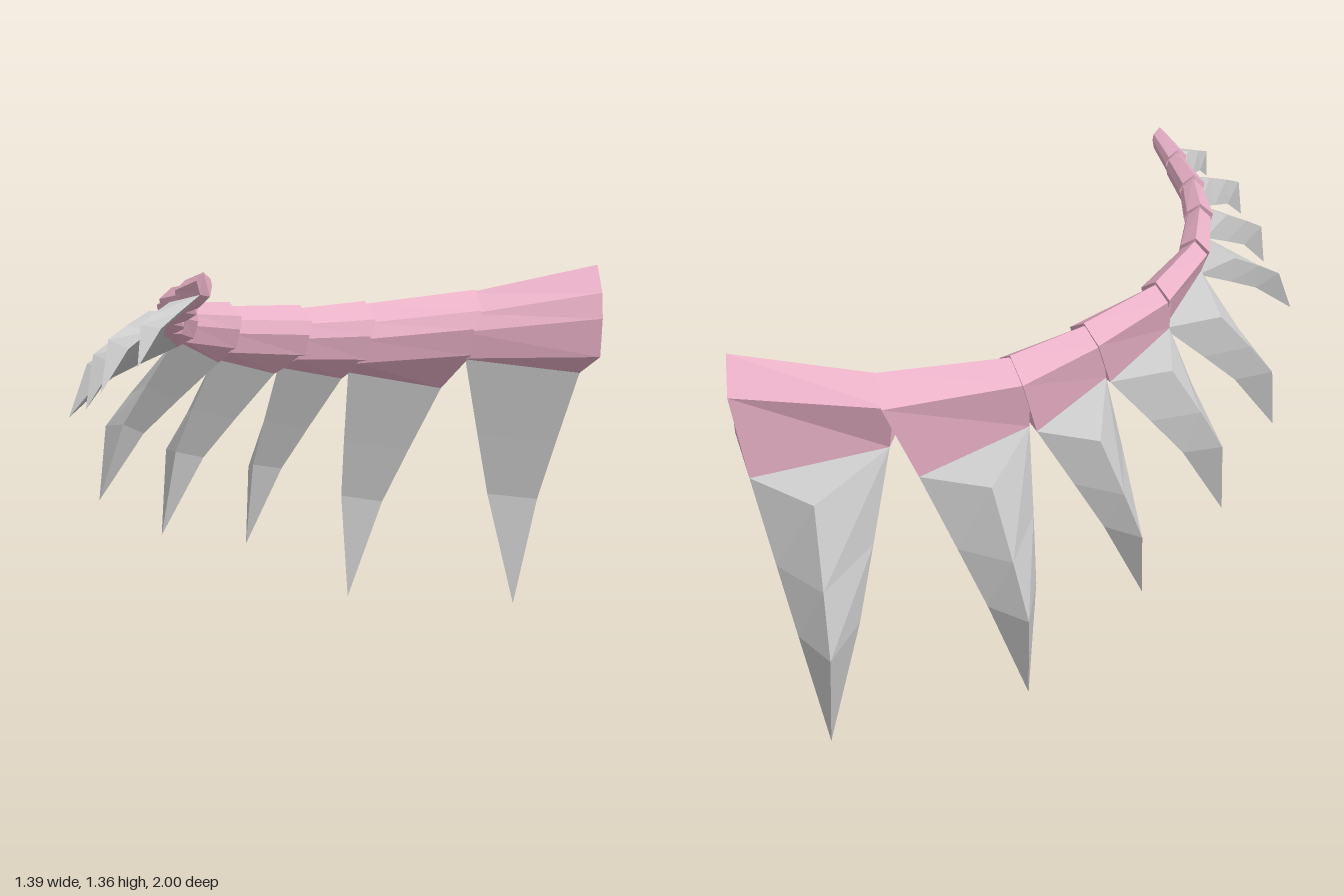
import * as THREE from 'three';

const V = (a) => new THREE.Vector3(...a);

// Flat-shaded closed loft through rings of equal length; winding is fixed by signed volume.
function loft(rings) {
  const tris = [];
  const n = rings[0].length;
  for (let r = 0; r < rings.length - 1; r++) {
    for (let i = 0; i < n; i++) {
      const j = (i + 1) % n, a = rings[r], b = rings[r + 1];
      tris.push([a[i], a[j], b[j]], [a[i], b[j], b[i]]);
    }
  }
  const last = rings[rings.length - 1];
  for (let i = 1; i < n - 1; i++) {
    tris.push([rings[0][0], rings[0][i + 1], rings[0][i]]);
    tris.push([last[0], last[i], last[i + 1]]);
  }
  const o = rings[0][0];
  let volume = 0;
  for (const [a, b, c] of tris) {
    volume += a.clone().sub(o).dot(b.clone().sub(o).cross(c.clone().sub(o)));
  }
  const points = tris.flatMap(([a, b, c]) => (volume < 0 ? [a, c, b] : [a, b, c]));
  const geo = new THREE.BufferGeometry().setFromPoints(points);
  geo.computeVertexNormals();
  return geo;
}

// Gum joints: x, z, top height, lower inner height, half width, slant of the inner side
const joints = [
  [0.635, -0.785, 1.235, 0.93, 0.085, 0],
  [0.255, -0.63, 1.155, 0.945, 0.1, 0.4],
  [-0.06, -0.39, 1.135, 0.95, 0.085, 0.4],
  [-0.21, -0.16, 1.145, 0.99, 0.07, 0.4],
  [-0.36, 0.09, 1.18, 1.04, 0.058, 0.4],
  [-0.42, 0.33, 1.22, 1.1, 0.05, 0.3],
  [-0.39, 0.5, 1.255, 1.15, 0.043, 0.3],
  [-0.335, 0.63, 1.29, 1.19, 0.038, 0.3],
  [-0.255, 0.73, 1.325, 1.24, 0.033, 0.3],
  [-0.18, 0.8, 1.37, 1.3, 0.027, 0],
];

// Teeth: root start, root end, outer ridge top, tip, outward bulge
const teeth = [
  [[0.59, 0.86, -0.84], [0.23, 0.92, -0.65], [0.37, 0.84, -0.89], [0.355, 0, -0.91], [-0.06, 0, -0.095]],
  [[0.15, 0.82, -0.63], [-0.11, 0.9, -0.39], [-0.07, 0.82, -0.62], [-0.17, 0.07, -0.59], [-0.075, 0, -0.075]],
  [[-0.13, 0.88, -0.38], [-0.27, 0.95, -0.13], [-0.32, 0.87, -0.36], [-0.445, 0.31, -0.3], [-0.07, 0, -0.045]],
  [[-0.28, 0.93, -0.12], [-0.4, 1.01, 0.12], [-0.45, 0.95, -0.03], [-0.605, 0.415, 0.07], [-0.075, 0.03, -0.02]],
  [[-0.38, 1.0, 0.13], [-0.44, 1.1, 0.35], [-0.54, 1.02, 0.22], [-0.7, 0.585, 0.35], [-0.07, 0.03, 0]],
  [[-0.43, 1.08, 0.36], [-0.41, 1.14, 0.51], [-0.53, 1.12, 0.43], [-0.69, 0.89, 0.585], [-0.04, 0.05, 0]],
  [[-0.41, 1.13, 0.52], [-0.36, 1.19, 0.63], [-0.46, 1.18, 0.6], [-0.56, 0.95, 0.76], [-0.04, 0.05, 0.02]],
  [[-0.36, 1.18, 0.63], [-0.29, 1.24, 0.73], [-0.37, 1.24, 0.73], [-0.44, 1.03, 0.93], [-0.03, 0.05, 0.03]],
  [[-0.28, 1.23, 0.73], [-0.19, 1.3, 0.8], [-0.27, 1.28, 0.83], [-0.3, 1.12, 1.0], [-0.02, 0.04, 0.03]],
];

// Three-sided tooth with an outer ridge, curving down to a point
function toothGeometry([start, end, ridge, tip, bulge]) {
  const levels = [[0, 0], [0.3, 0.6], [0.55, 1], [1, 0]];
  return loft(levels.map(([t, k]) => [start, end, ridge].map((p, i) =>
    V(p).lerp(V(tip), t).addScaledVector(V(bulge), k * (i === 2 ? 1 : 0.45)))));
}

// Six-sided gum section at a joint, with its lowest corner at a tooth root
function gumSection(index, root, scale, lift, slide) {
  const [x, z, top, low, half, slant] = joints[index];
  const a = joints[Math.max(index - 1, 0)];
  const b = joints[Math.min(index + 1, joints.length - 1)];
  const dir = new THREE.Vector2(b[0] - a[0], b[1] - a[1]).normalize();
  const w = half * scale;
  // Positive "across" points to the outer side of the arch
  const at = (across, height, skew = 0) => {
    const along = slide + skew * slant * half;
    return new THREE.Vector3(
      x + dir.x * along - dir.y * w * across,
      low + (top - low) * height + lift,
      z + dir.y * along + dir.x * w * across);
  };
  // Top ridge, outer side, root, then the inner side from low to high
  return [at(0.1, 1), at(1, 0.68), V(root), at(-0.72, 0, 1), at(-1, 0.44, 1), at(-0.82, 0.72, 0.2)];
}

export function createModel() {
  const model = new THREE.Group();
  model.name = 'jawTeethRow';
  const toothMaterial = new THREE.MeshStandardMaterial({ color: 0xcccccc, flatShading: true });
  const gumMaterial = new THREE.MeshStandardMaterial({ color: 0xe8b0c6, flatShading: true });

  const gums = new THREE.Group();
  gums.name = 'gums';
  const toothRow = new THREE.Group();
  toothRow.name = 'teeth';
  model.add(gums, toothRow);

  teeth.forEach((tooth, i) => {
    // Each gum segment starts wide and tucks its narrower end into the next one
    const size = joints[i + 1][4];
    const gum = new THREE.Mesh(loft([
      gumSection(i, tooth[0], 1.06, 0.005, -size * 0.2),
      gumSection(i + 1, tooth[1], 0.9, -0.006, size * 0.2),
    ]), gumMaterial);
    gum.name = `gumSegment${i + 1}`;
    gums.add(gum);

    const mesh = new THREE.Mesh(toothGeometry(tooth), toothMaterial);
    mesh.name = `tooth${i + 1}`;
    toothRow.add(mesh);
  });
  return model;
}
